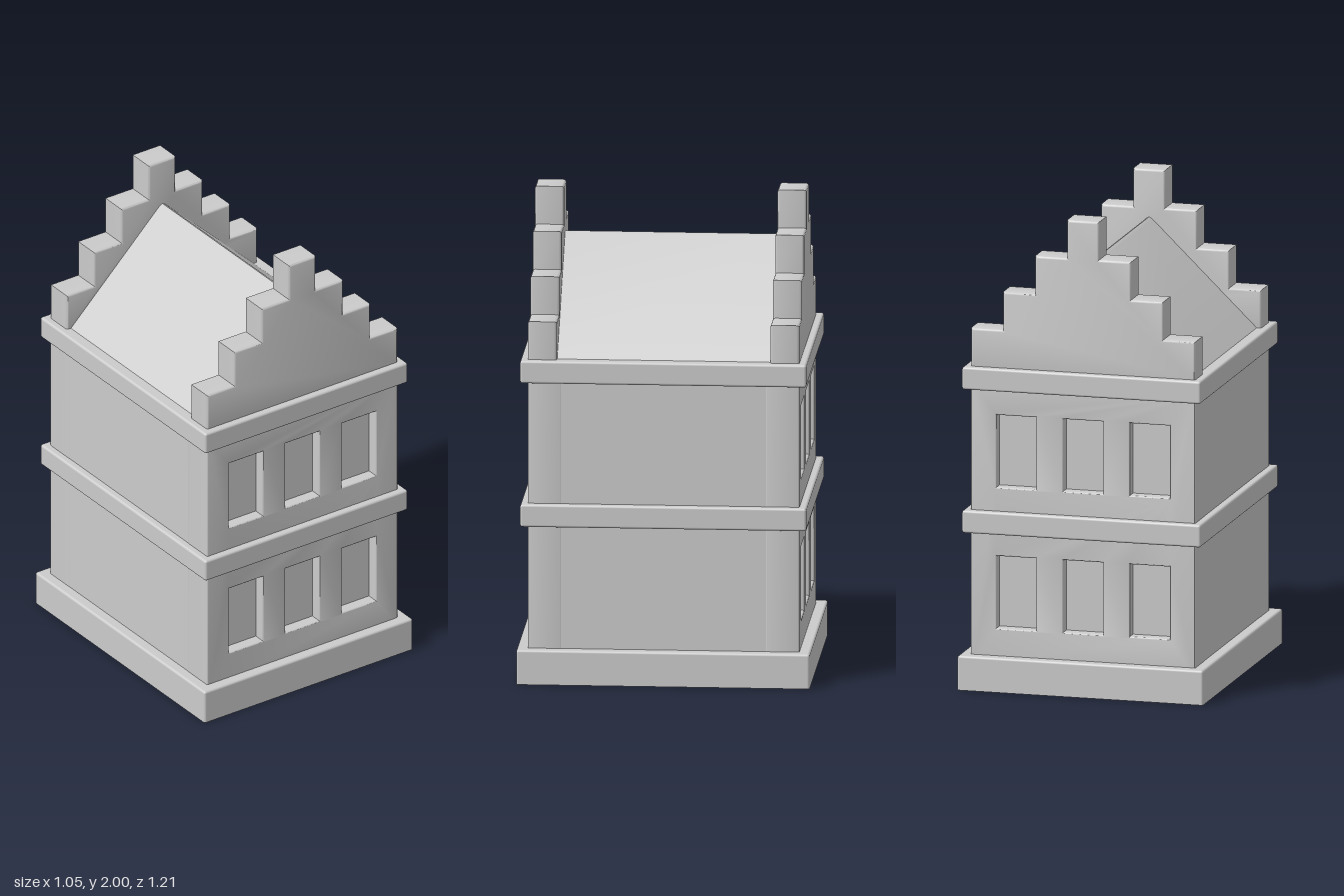
import * as THREE from 'three';
import { toCreasedNormals } from 'three/addons/utils/BufferGeometryUtils.js';
import { RoundedBoxGeometry } from 'three/addons/geometries/RoundedBoxGeometry.js';

const BEVEL = 0.01;
const HALF_W = 0.48, HALF_D = 0.56;     // walls
const STOREYS = [[0.10, 0.70], [0.70, 1.30]];
const material = new THREE.MeshStandardMaterial({ color: 0xcccccc });

export function createModel() {
  const group = new THREE.Group();

  const add = (name, geometry, parent = group) => {
    const mesh = new THREE.Mesh(geometry, material);
    mesh.name = name;
    parent.add(mesh);
    return mesh;
  };

  // Softly rounded slab between two heights
  const slab = (w, d, y0, y1) =>
    new RoundedBoxGeometry(w, y1 - y0, d, 3, BEVEL).translate(0, (y0 + y1) / 2, 0);

  // Extrudes a shape with softened edges so that it fills z0..z1 exactly
  const softExtrude = (shape, z0, z1, bevel = BEVEL) => toCreasedNormals(
    new THREE.ExtrudeGeometry(shape, {
      depth: z1 - z0 - 2 * bevel, bevelEnabled: true, bevelThickness: bevel,
      bevelSize: bevel, bevelOffset: -bevel, bevelSegments: 3,
    }).translate(0, 0, z0 + bevel), 0.7);

  const rect = (Kind, x0, y0, x1, y1) => new Kind([
    [x0, y0], [x1, y0], [x1, y1], [x0, y1],
  ].map(([x, y]) => new THREE.Vector2(x, y)));

  // Plinth, flat underneath
  const plinth = slab(1.05, 1.21, -BEVEL, 0.145);
  const p = plinth.attributes.position;
  for (let i = 0; i < p.count; i++) p.setY(i, Math.max(0, p.getY(i)));
  add('plinth', plinth);

  // Projecting bands above each storey
  add('middleBand', slab(1.02, 1.18, 0.66, 0.755));
  add('cornice', slab(1.02, 1.18, 1.265, 1.36));

  // Inner block: side walls and the recessed window panes
  add('wallCore', new THREE.BoxGeometry(0.958, 1.2, 1.02).translate(0, 0.70, 0));

  // Pierced facade with three windows per storey
  const facade = rect(THREE.Shape, -HALF_W, 0.10, HALF_W, 1.30);
  for (const y of [0.26, 0.855])
    for (const x of [-0.285, 0, 0.285])
      facade.holes.push(rect(THREE.Path, x - 0.085, y, x + 0.085, y + 0.305));
  const facadeGeometry = softExtrude(facade, 0.42, HALF_D, 0.006);

  // Stepped gable: seven columns rising to the middle
  const col = 2 * HALF_W / 7;
  const outline = [[HALF_W, 1.35]];
  for (let i = 0; i < 7; i++) {
    const top = 2 - 0.16 * Math.abs(i - 3);
    outline.push([HALF_W - i * col, top], [HALF_W - (i + 1) * col, top]);
  }
  outline.push([-HALF_W, 1.35]);
  const gable = new THREE.Shape(outline.map(([x, y]) => new THREE.Vector2(x, y)));
  const gableGeometry = softExtrude(gable, 0.44, HALF_D);

  // The front and the back share the same facade and gable
  for (const [side, turn] of [['front', 0], ['back', Math.PI]]) {
    const end = new THREE.Group();
    end.name = side + 'End';
    end.rotation.y = turn;
    add(side + 'Facade', facadeGeometry, end);
    add(side + 'Gable', gableGeometry, end);
    group.add(end);
  }

  // Pitched roof with a slightly blunted ridge
  const roof = new THREE.Shape([
    [-0.46, 1.35], [0.46, 1.35], [0.46, 1.36], [0.014, 1.792], [0, 1.8],
    [-0.014, 1.792], [-0.46, 1.36],
  ].map(([x, y]) => new THREE.Vector2(x, y)));
  add('roof', toCreasedNormals(new THREE.ExtrudeGeometry(roof, { depth: 0.92, bevelEnabled: false })
    .translate(0, 0, -0.46), 0.3));

  return group;
}
